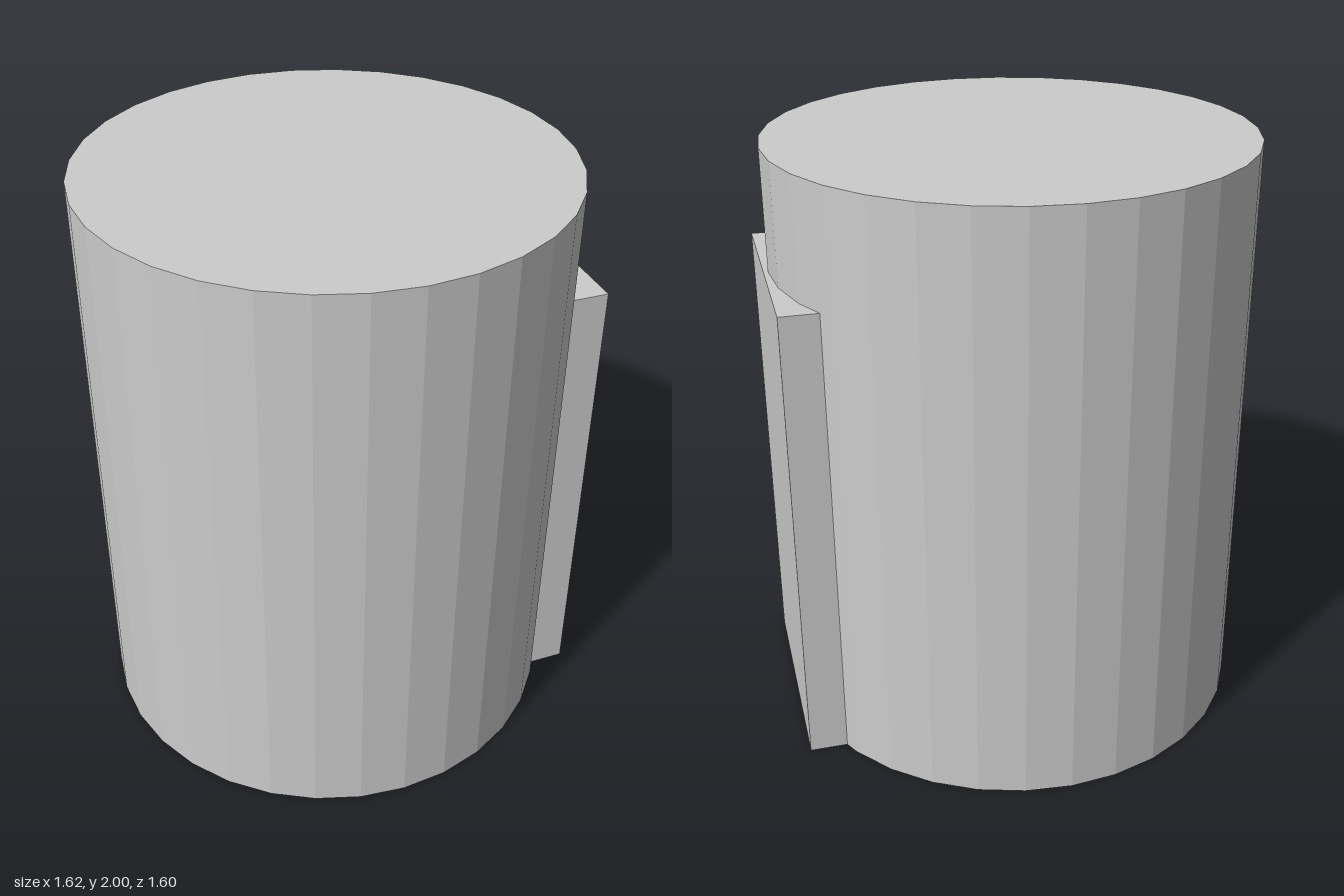
import * as THREE from 'three';

export function createModel() {
  const group = new THREE.Group();
  const material = new THREE.MeshStandardMaterial({ color: 0xcccccc, flatShading: true });

  const addPart = (name, geometry, x, y) => {
    const mesh = new THREE.Mesh(geometry, material);
    mesh.name = name;
    mesh.position.set(x, y, 0);
    group.add(mesh);
  };

  // Faceted solid drum
  addPart('cylinderBody', new THREE.CylinderGeometry(0.8, 0.8, 2, 32), -0.01, 1);

  // Flat panel set into the drum's left side, ending below the top
  const inner = 0.6, outer = 0.805;
  addPart('sidePanel', new THREE.BoxGeometry(outer - inner, 1.6, 0.8), (inner + outer) / 2, 0.8);

  return group;
}
